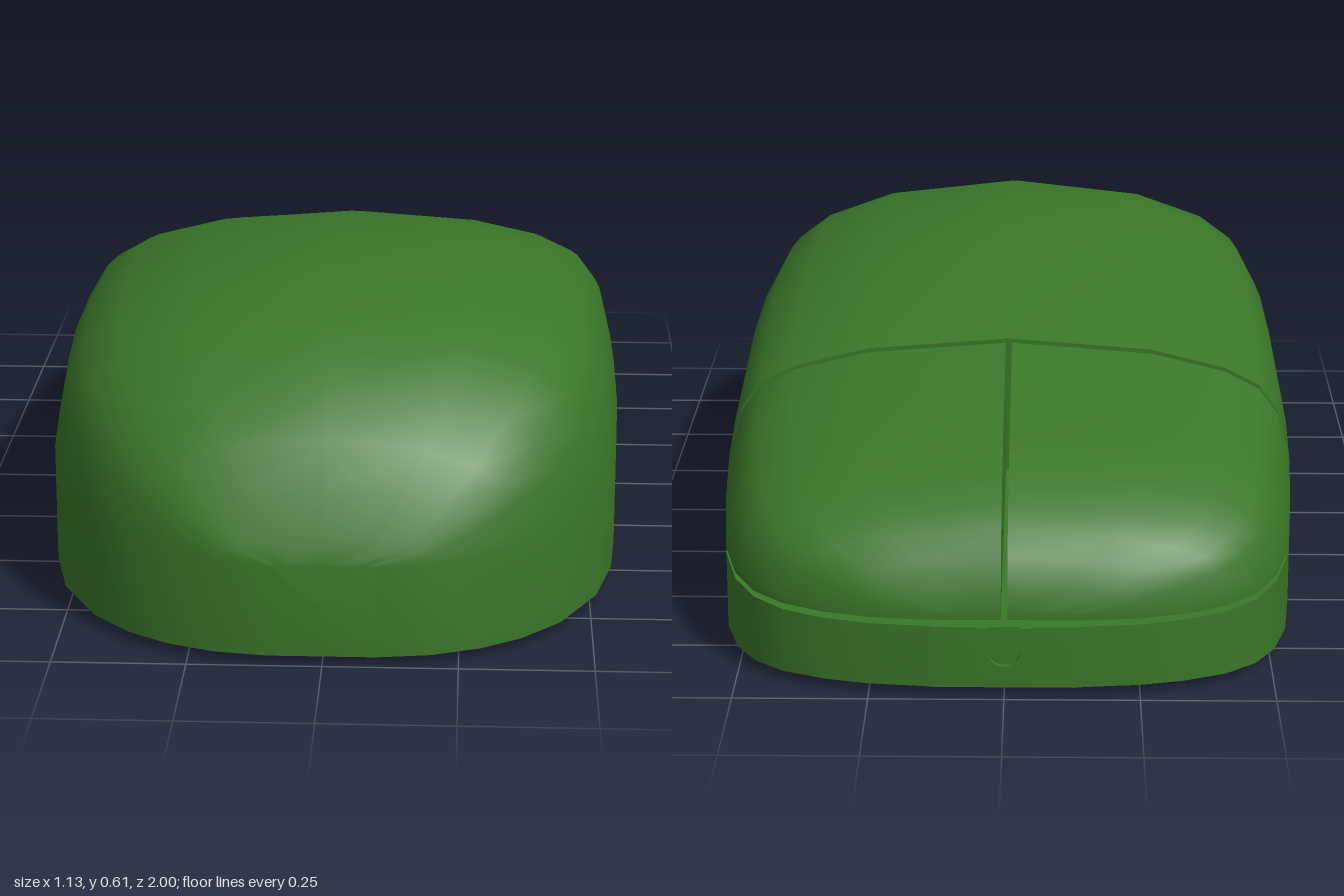
import * as THREE from 'three';
import { toCreasedNormals } from 'three/addons/utils/BufferGeometryUtils.js';

const FLOOR = 0.02; // underside height
const GAP = 0.006;  // half width of the grooves

// Stations: z, half width, crown height, shoulder height
const palmStations = [
  [1, 0.10, 0.20, 0.195], [0.985, 0.20, 0.24, 0.20], [0.95, 0.29, 0.33, 0.20],
  [0.90, 0.365, 0.405, 0.205], [0.82, 0.44, 0.48, 0.215], [0.68, 0.512, 0.55, 0.235],
  [0.53, 0.546, 0.595, 0.255], [0.40, 0.556, 0.605, 0.267], [0.25, 0.562, 0.61, 0.275],
  [0, 0.565, 0.59, 0.28], [-0.2, 0.565, 0.54, 0.27], [-0.362, 0.56, 0.497, 0.255],
];
const buttonStations = [
  [-0.374, 0.56, 0.492, 0.253], [-0.55, 0.55, 0.445, 0.225], [-0.7, 0.535, 0.405, 0.20],
  [-0.8, 0.508, 0.37, 0.185], [-0.87, 0.468, 0.335, 0.176], [-0.92, 0.41, 0.30, 0.17],
  [-0.955, 0.33, 0.26, 0.165], [-0.975, 0.25, 0.21, 0.163], [-0.986, 0.15, 0.17, 0.16],
];

// Shoulder-to-crown curve: fraction of half width, fraction of rise
const dome = [[1, 0], [0.955, 0.39], [0.885, 0.61], [0.76, 0.76], [0.5, 0.91], [0, 1]];

// Height of the seam between the buttons and the base
const seam = (z) => 0.145 + 0.083 * Math.pow(Math.max(0, (z + 0.99) / 0.63), 1.3);

// Closed loft through counter-clockwise sections, ordered from +z to -z
function loft(sections) {
  const n = sections[0].points.length;
  const positions = [];
  const index = [];
  for (const { z, points } of sections) for (const [x, y] of points) positions.push(x, y, z);
  for (let k = 0; k < sections.length - 1; k++) {
    for (let i = 0; i < n; i++) {
      const a = k * n + i, b = k * n + (i + 1) % n;
      index.push(a, a + n, b, b, a + n, b + n);
    }
  }
  const cap = (section) => THREE.ShapeUtils.triangulateShape(
    section.points.map(([x, y]) => new THREE.Vector2(x, y)), []);
  for (const [a, b, c] of cap(sections[0])) index.push(a, b, c);
  const last = (sections.length - 1) * n;
  for (const [a, b, c] of cap(sections.at(-1))) index.push(last + a, last + c, last + b);
  const geometry = new THREE.BufferGeometry();
  geometry.setAttribute('position', new THREE.Float32BufferAttribute(positions, 3));
  geometry.setIndex(index);
  return toCreasedNormals(geometry, 0.85);
}

const mirror = (points) => points.map(([x, y]) => [-x, y]).reverse();

// Dome points on the +x side, from shoulder to crown
const domeSide = (w, h, s, minX = 0) =>
  dome.map(([fx, fy]) => [Math.max(fx * w, minX), s + fy * (h - s)]);

function palmSection([z, w, h, s]) {
  const side = [[w, FLOOR], ...domeSide(w, h, s)];
  return { z, points: [...side, ...mirror(side).slice(1)] };
}

function baseSection([z, w]) {
  const top = seam(z) - GAP;
  return { z, points: [[-w, FLOOR], [w, FLOOR], [w, top], [-w, top]] };
}

function buttonSection([z, w, h, s], side) {
  const bottom = seam(z) + GAP;
  const points = [[GAP, bottom], [w, bottom], ...domeSide(w, h, s, GAP)];
  return { z, points: side > 0 ? points : mirror(points) };
}

// U-shaped frame around the cable outlet
function cableGuideGeometry() {
  const shape = new THREE.Shape();
  const outer = 0.05, inner = 0.03, top = 0.14, mid = 0.095;
  shape.moveTo(-outer, top);
  shape.lineTo(-outer, mid);
  shape.absarc(0, mid, outer, Math.PI, Math.PI * 2, false);
  shape.lineTo(outer, top);
  shape.lineTo(inner, top);
  shape.lineTo(inner, mid);
  shape.absarc(0, mid, inner, Math.PI * 2, Math.PI, true);
  shape.lineTo(-inner, top);
  return new THREE.ExtrudeGeometry(shape, { depth: 0.03, bevelEnabled: false, curveSegments: 8 });
}

export function createModel() {
  const group = new THREE.Group();
  const material = new THREE.MeshStandardMaterial({ color: 0x3a7628 });
  const add = (name, geometry) => {
    const mesh = new THREE.Mesh(geometry, material);
    mesh.name = name;
    group.add(mesh);
    return mesh;
  };

  // Shell: palm rest and the low base under the buttons
  add('palmShell', loft(palmStations.map(palmSection)));
  const baseStations = [palmStations.at(-1), ...buttonStations, [-0.99, 0.13]];
  add('buttonBase', loft(baseStations.map(baseSection)));

  // Two click buttons, split along the middle
  for (const [name, side] of [['leftButton', 1], ['rightButton', -1]]) {
    add(name, loft(buttonStations.map((station) => buttonSection(station, side))));
  }

  add('cableGuide', cableGuideGeometry()).position.z = -1;

  // Four glide feet
  const footGeometry = new THREE.CylinderGeometry(0.07, 0.058, 0.024, 24);
  for (const [x, z] of [[0.38, 0.71], [0.33, -0.83]]) {
    for (const side of [1, -1]) add('glideFoot', footGeometry).position.set(side * x, 0.012, z);
  }
  return group;
}
